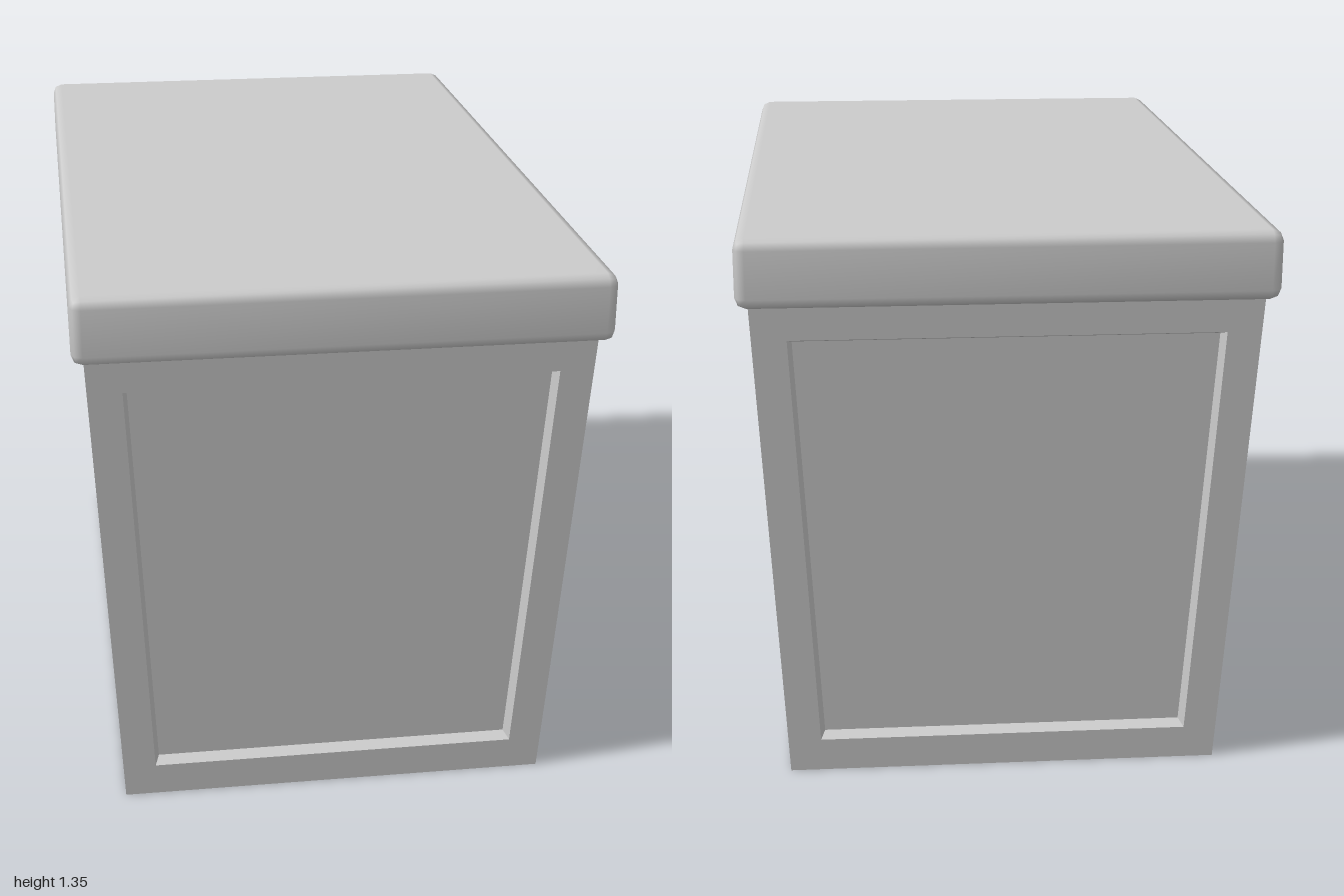
import * as THREE from 'three';
import { mergeVertices } from 'three/addons/utils/BufferGeometryUtils.js';
import { RoundedBoxGeometry } from 'three/addons/geometries/RoundedBoxGeometry.js';

const material = new THREE.MeshStandardMaterial({ color: 0xcccccc });
const BODY_TOP = 1.2;

// half depth of the tapered body at height y
const depthAt = (y) => 0.85 + 0.1 * (y / BODY_TOP);

// flat-shaded geometry from four-cornered faces, counter-clockwise from outside
function quads(faces) {
  const points = faces.flatMap(([a, b, c, d]) => [a, b, c, a, c, d]);
  const geometry = new THREE.BufferGeometry();
  geometry.setAttribute('position', new THREE.Float32BufferAttribute(points.flat(), 3));
  geometry.computeVertexNormals();
  return geometry;
}

// trapezoid loop lying in the sloping end wall, sunk by inset
function endLoop(y0, halfX0, y1, halfX1, inset = 0) {
  return [[-halfX0, y0], [halfX0, y0], [halfX1, y1], [-halfX1, y1]]
    .map(([x, y]) => [x, y, depthAt(y) - inset]);
}

function createModel() {
  const group = new THREE.Group();
  const add = (name, geometry) => {
    const mesh = new THREE.Mesh(geometry, material);
    mesh.name = name;
    group.add(mesh);
    return mesh;
  };

  // end walls: flat frame, recess walls and sunken panel
  const outer = endLoop(0, 0.515, BODY_TOP, 0.574);
  const rim = endLoop(0.083, 0.441, 1.105, 0.491);
  const inner = endLoop(0.094, 0.431, 1.095, 0.481, 0.03);
  const faces = [inner];
  for (const [a, b] of [[outer, rim], [rim, inner]]) {
    for (let i = 0; i < 4; i++) {
      const j = (i + 1) % 4;
      faces.push([a[i], a[j], b[j], b[i]]);
    }
  }
  const endGeometry = quads(faces);
  add('frontPanelWall', endGeometry);
  add('backPanelWall', endGeometry).rotation.y = Math.PI;

  // plain side walls and floor
  const [fl, fr, tr, tl] = outer;
  const back = ([x, y, z]) => [x, y, -z];
  const sideGeometry = quads([[fr, back(fr), back(tr), tr]]);
  add('leftWall', sideGeometry);
  add('rightWall', sideGeometry).rotation.y = Math.PI;
  add('floor', quads([[fl, back(fl), back(fr), fr]]));

  // overhanging lid with softened, smooth-shaded edges
  let lid = new RoundedBoxGeometry(1.2, 0.157, 2, 1, 0.025);
  lid.deleteAttribute('uv');
  lid.deleteAttribute('normal');
  lid = mergeVertices(lid);
  lid.computeVertexNormals();
  add('lid', lid).position.y = 1.2665;

  return group;
}

export { createModel };
